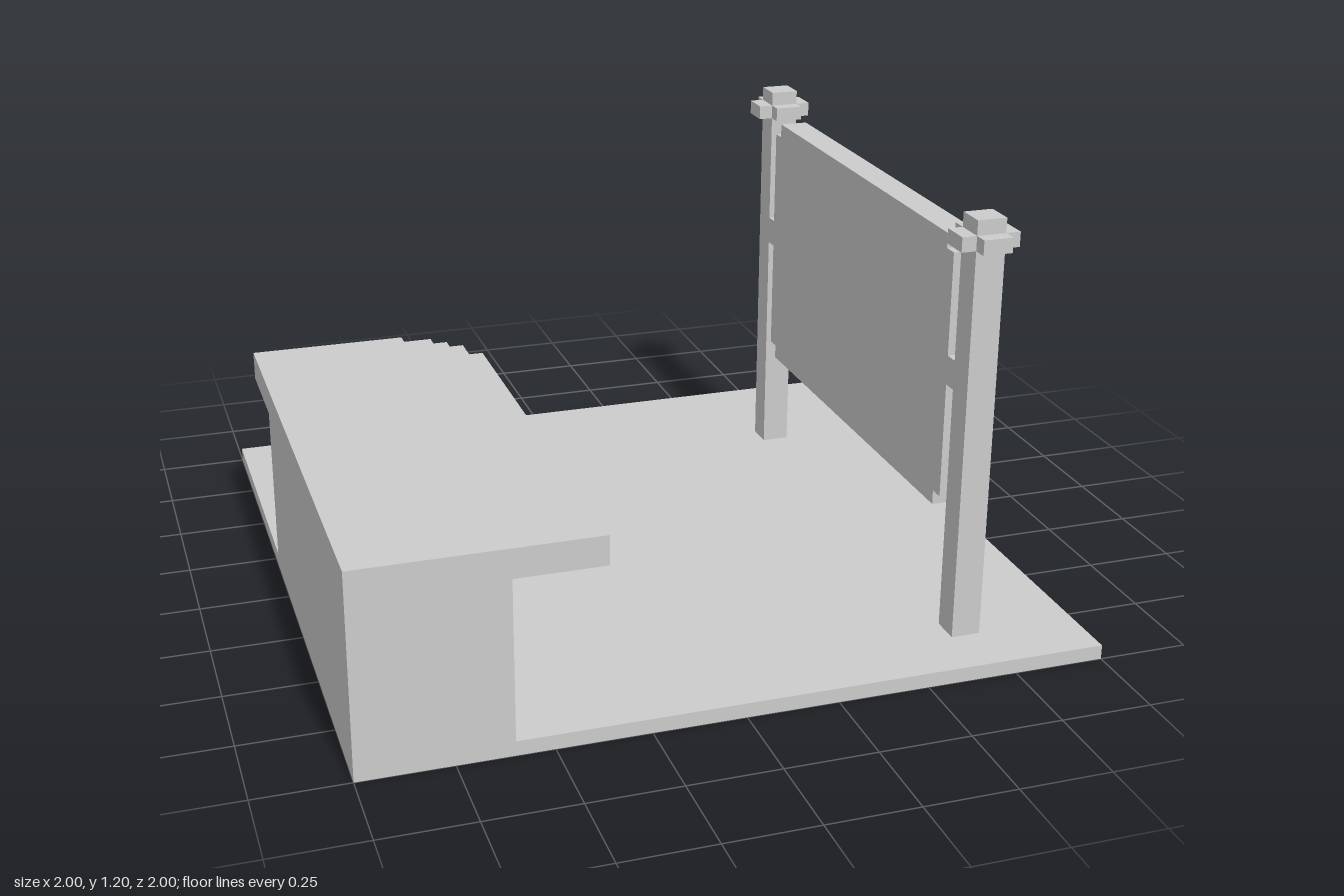
import * as THREE from 'three';

const material = new THREE.MeshStandardMaterial({ color: 0xcccccc, flatShading: true });

function add(parent, name, geometry) {
  const mesh = new THREE.Mesh(geometry, material);
  mesh.name = name;
  parent.add(mesh);
  return mesh;
}

// Box given by its lower and upper limits on each axis
function box(parent, name, [x0, x1], [y0, y1], [z0, z1]) {
  add(parent, name, new THREE.BoxGeometry(x1 - x0, y1 - y0, z1 - z0))
    .position.set((x0 + x1) / 2, (y0 + y1) / 2, (z0 + z1) / 2);
}

function extrude(points, depth) {
  const shape = new THREE.Shape(points.map(([a, b]) => new THREE.Vector2(a, b)));
  return new THREE.ExtrudeGeometry(shape, { depth, bevelEnabled: false });
}

export function createModel() {
  const model = new THREE.Group();
  model.name = 'counterAndSign';

  // Floor slab
  box(model, 'floor', [-1, 1], [0, 0.04], [-1, 1]);

  // Counter: solid base and overhanging top with a stepped round corner
  const counter = new THREE.Group();
  counter.name = 'counter';
  model.add(counter);
  box(counter, 'counterBase', [-1, -0.6], [0.04, 0.48], [-0.2, 1]);
  const top = extrude([
    [-1, 1], [-1, -0.48], [-0.56, -0.48], [-0.56, -0.44], [-0.48, -0.44], [-0.48, -0.4],
    [-0.44, -0.4], [-0.44, -0.36], [-0.4, -0.36], [-0.4, -0.28], [-0.36, -0.28], [-0.36, 1],
  ], 0.08);
  top.rotateX(Math.PI / 2).translate(0, 0.56, 0);
  add(counter, 'counterTop', top);

  // Sign: two posts, each with a cross-shaped collar near the top
  const sign = new THREE.Group();
  sign.name = 'sign';
  model.add(sign);
  const a = 0.04, b = 0.08;
  const cross = [
    [a, b], [-a, b], [-a, a], [-b, a], [-b, -a], [-a, -a],
    [-a, -b], [a, -b], [a, -a], [b, -a], [b, a], [a, a],
  ];
  for (const z of [0.8, -0.6]) {
    box(sign, 'post', [0.64, 0.72], [0.04, 1.2], [z - a, z + a]);
    const collar = extrude(cross, 0.04);
    collar.rotateX(Math.PI / 2).translate(0.68, 1.16, z);
    add(sign, 'postCollar', collar);
  }

  // Board outline in (offset along z, height): notched corners and side brackets
  const half = [
    [0.58, 0.36], [0.58, 0.4], [0.62, 0.4], [0.62, 0.72], [0.66, 0.72],
    [0.66, 0.8], [0.62, 0.8], [0.62, 1.08], [0.58, 1.08], [0.58, 1.12],
  ];
  const mirrored = half.map(([z, y]) => [-z, y]).reverse();
  const board = extrude([...half, ...mirrored], 0.08);
  board.rotateY(-Math.PI / 2).translate(0.72, 0, 0.1);
  add(sign, 'signBoard', board);

  return model;
}
